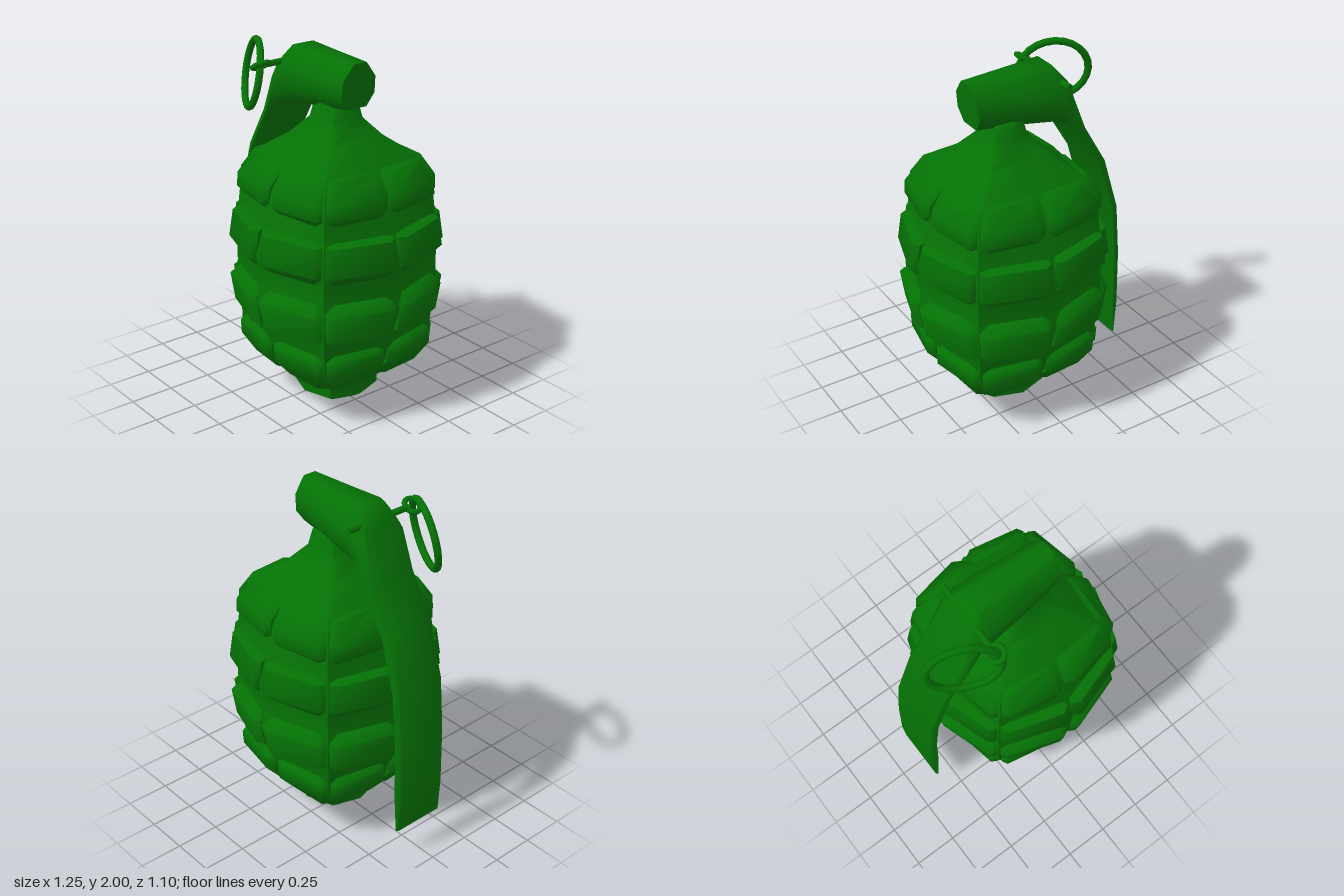
import * as THREE from 'three';
import { toCreasedNormals } from 'three/addons/utils/BufferGeometryUtils.js';

const AXIS_X = 0.07;
const MIRROR_Y = 1.665; // twice the height of the body's middle
const SIDES = 8;
const green = new THREE.MeshStandardMaterial({ color: 0x057205 });

function addMesh(parent, name, geometry, crease) {
  const mesh = new THREE.Mesh(crease ? toCreasedNormals(geometry, crease) : geometry, green);
  mesh.name = name;
  parent.add(mesh);
  return mesh;
}

// Closed solid through rings of [x, y, z], each counter-clockwise about the direction of travel
function loft(rings) {
  const n = rings[0].length, last = (rings.length - 1) * n, index = [];
  for (let i = 0; i < rings.length - 1; i++) {
    for (let j = 0; j < n; j++) {
      const a = i * n + j, b = i * n + (j + 1) % n;
      index.push(a, b, b + n, a, b + n, a + n);
    }
  }
  for (let j = 1; j < n - 1; j++) {
    index.push(0, j + 1, j, last, last + j, last + j + 1);
  }
  const geometry = new THREE.BufferGeometry();
  geometry.setAttribute('position', new THREE.Float32BufferAttribute(rings.flat(2), 3));
  geometry.setIndex(index);
  return geometry;
}

// Corner k of the rounded-square octagon: even corners lie on the axes, odd on the diagonals
function corner(k, [axisR, y, diagonalR], inset = 0) {
  const r = (k % 2 ? diagonalR : axisR) - inset, angle = (k * 2 * Math.PI) / SIDES;
  return new THREE.Vector3(r * Math.sin(angle), y, r * Math.cos(angle));
}

// Raised block on facet k, with shallow bevels running down into the grooves on both sides
function blockGeometry(profile, k) {
  return loft(profile.map((station) => {
    const edges = (inset, margin) => {
      const a = corner(k, station, inset), b = corner(k + 1, station, inset);
      const along = b.clone().sub(a).setLength(margin);
      return [a.add(along).toArray(), b.sub(along).toArray()];
    };
    const [sinkA, sinkB] = edges(0.1, 0.012);
    const [grooveA, grooveB] = edges(0.038, 0.012);
    const [outerA, outerB] = edges(0, 0.06);
    return [sinkA, grooveA, outerA, outerB, grooveB, sinkB];
  }));
}

const mirrored = (profile) => profile.map(([a, y, d]) => [a, MIRROR_Y - y, d]).reverse();

export function createModel() {
  const model = new THREE.Group();
  model.name = 'grenade';

  // Core with foot and neck: axis radius, y, diagonal radius
  const body = new THREE.Group();
  body.name = 'body';
  body.position.x = AXIS_X;
  model.add(body);
  const lowerCore = [
    [0.34, 0.24, 0.445], [0.42, 0.36, 0.515], [0.445, 0.46, 0.525],
    [0.48, 0.55, 0.535], [0.53, 0.7, 0.56], [0.51, 0.775, 0.548],
  ];
  const core = [
    [0.02, 0.005, 0.02], [0.16, 0.02, 0.17], [0.22, 0.06, 0.235], [0.22, 0.13, 0.235],
    ...lowerCore, ...mirrored(lowerCore),
    [0.2, 1.54, 0.245], [0.13, 1.63, 0.14], [0.11, 1.72, 0.115], [0.09, 1.74, 0.09],
  ];
  const coreRings = core.map((station) =>
    Array.from({ length: SIDES }, (_, k) => corner(k, station).toArray()));
  addMesh(body, 'core', loft(coreRings), 0.9);

  // Four rows of blocks, the upper two mirroring the lower two
  const lowerRows = [
    [[0.37, 0.24, 0.485], [0.472, 0.35, 0.56], [0.475, 0.43, 0.565], [0.43, 0.475, 0.515]],
    [[0.49, 0.55, 0.54], [0.545, 0.565, 0.585], [0.571, 0.72, 0.608], [0.5, 0.785, 0.54]],
  ];
  for (const row of [...lowerRows, ...lowerRows.map(mirrored)]) {
    for (let k = 0; k < SIDES; k++) {
      addMesh(body, 'block', blockGeometry(row, k), 1);
    }
  }

  // Hood and safety lever: outer x, y, inner x, y, half width, share of flat outer face
  const leverStations = [
    [0.28, 1.965, 0.255, 1.72, 0.11, 0.35],
    [0, 1.97, 0, 1.695, 0.145, 0.38],
    [-0.2, 1.975, -0.19, 1.665, 0.16, 0.42],
    [-0.275, 1.88, -0.26, 1.655, 0.163, 0.65],
    [-0.37, 1.6, -0.315, 1.58, 0.163, 0.85],
    [-0.505, 1.365, -0.455, 1.35, 0.163, 0.88],
    [-0.597, 1.05, -0.545, 1.05, 0.165, 0.9],
    [-0.624, 0.73, -0.575, 0.74, 0.165, 0.9],
    [-0.63, 0.39, -0.58, 0.42, 0.165, 0.9],
    [-0.617, 0.185, -0.6, 0.185, 0.16, 0.92],
  ];
  const leverRings = leverStations.map(([ox, oy, ix, iy, w, flat]) => {
    const half = [[1, 0.35 + 0.6 * flat], [0.72, 1], [0.35, 0.97], [0.1, 0.3 + 0.7 * flat], [0, flat]];
    const point = (t, z) => [ox + (ix - ox) * t, oy + (iy - oy) * t, 0.01 + z * w];
    return [
      ...half.map(([t, z]) => point(t, z)),
      ...half.slice().reverse().map(([t, z]) => point(t, -z)),
    ];
  });
  addMesh(model, 'safetyLever', loft(leverRings), 1);

  // Safety pin with its eye and pull ring
  const pin = addMesh(model, 'safetyPin', new THREE.CylinderGeometry(0.018, 0.018, 0.41, 8), 0.9);
  pin.rotation.x = Math.PI / 2;
  pin.position.set(-0.235, 1.885, 0.03);

  const eye = addMesh(model, 'pinEye', new THREE.TorusGeometry(0.044, 0.015, 8, 14));
  eye.rotation.order = 'ZXY';
  eye.rotation.set(Math.PI / 2, 0, 0.54);
  eye.position.set(-0.235, 1.885, 0.265);

  const ring = addMesh(model, 'pullRing', new THREE.TorusGeometry(0.184, 0.02, 8, 24));
  ring.scale.x = 1.04;
  ring.rotation.order = 'YXZ';
  ring.rotation.set(-0.18, -0.45, 0);
  ring.position.set(-0.39, 1.8, 0.21);

  return model;
}
